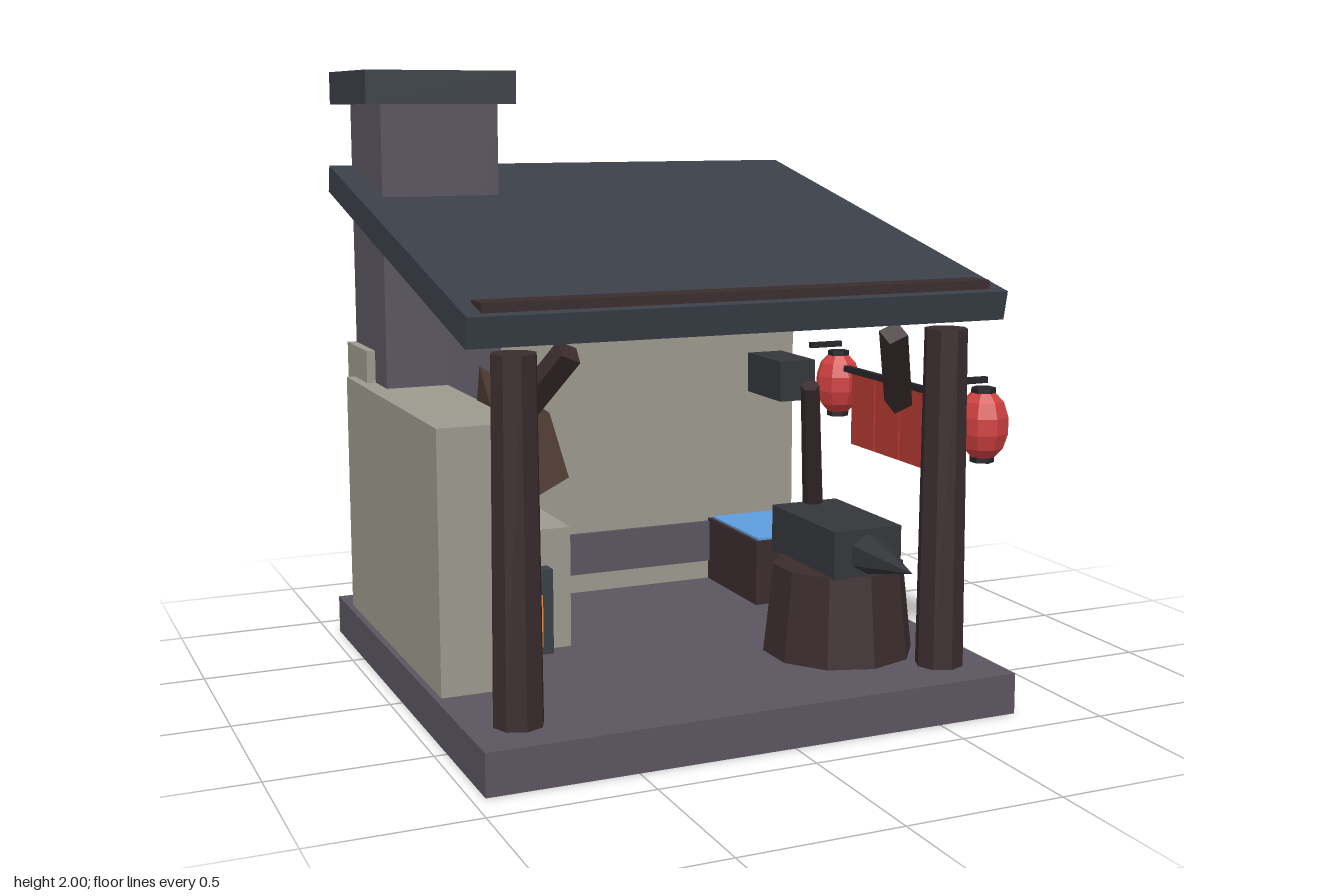
import * as THREE from 'three';

const mat = (color, extra = {}) => new THREE.MeshStandardMaterial({ color, flatShading: true, ...extra });

export function createModel() {
  const root = new THREE.Group();
  const stone = mat(0x5a5560), slate = mat(0x3a4048), plaster = mat(0x9c998d);
  const wood = mat(0x3a2c2e), iron = mat(0x34363a), black = mat(0x26262a);
  const red = mat(0xd04040), cloth = mat(0xb83a32, { side: THREE.DoubleSide });
  const copper = mat(0x4a382f), fire = mat(0xe8853f), water = mat(0x5f9ee0);

  const add = (name, geometry, material) => {
    const mesh = new THREE.Mesh(geometry, material);
    mesh.name = name;
    root.add(mesh);
    return mesh;
  };
  // Box given by its min and max on each axis
  const box = (name, material, x0, x1, y0, y1, z0, z1) => {
    const mesh = add(name, new THREE.BoxGeometry(x1 - x0, y1 - y0, z1 - z0), material);
    mesh.position.set((x0 + x1) / 2, (y0 + y1) / 2, (z0 + z1) / 2);
    return mesh;
  };
  // Places a y-aligned geometry so that it runs from a to b
  const between = (mesh, a, b) => {
    const p = new THREE.Vector3(...a), q = new THREE.Vector3(...b);
    mesh.position.copy(p).lerp(q, 0.5);
    mesh.quaternion.setFromUnitVectors(new THREE.Vector3(0, 1, 0), q.sub(p).normalize());
    return mesh;
  };
  const dist = (a, b) => new THREE.Vector3(...a).distanceTo(new THREE.Vector3(...b));
  const rod = (name, material, a, b, r0, r1, sides) =>
    between(add(name, new THREE.CylinderGeometry(r1, r0, dist(a, b), sides), material), a, b);

  // Floor and walls
  box('floor', stone, -0.96, 0.77, 0, 0.13, -0.86, 0.87);
  box('backWall', plaster, -0.91, 0.72, 0.13, 1.06, -0.83, -0.56);
  box('backWallBand', stone, -0.911, 0.721, 0.2, 0.35, -0.845, -0.545);
  box('sideWall', plaster, -0.94, -0.67, 0.13, 0.95, -0.73, 0.38);

  // Chimney
  box('chimney', stone, -0.88, -0.48, 0.13, 1.89, -0.82, -0.41);
  box('chimneyCap', slate, -0.94, -0.43, 1.89, 2, -0.87, -0.36);

  // Sloping roof with eave strip
  const roof = add('roof', new THREE.BoxGeometry(1.73, 0.092, 1.63), slate);
  roof.position.set(-0.095, 1.455, -0.033);
  roof.rotation.x = 0.222;
  box('eaveStrip', wood, -0.91, 0.72, 1.325, 1.355, 0.65, 0.745);

  // Posts and their braces, mirrored about the roof's middle
  for (const s of [-1, 1]) {
    const cx = -0.097;
    rod('post', wood, [cx + s * 0.703, 0.13, 0.685], [cx + s * 0.703, 1.205, 0.685], 0.077, 0.068, 8);
    const a = [cx + s * 0.665, 0.94, 0.47], b = [cx + s * 0.53, 1.195, 0.66];
    between(add('brace', new THREE.BoxGeometry(0.065, dist(a, b), 0.065), wood), a, b);
  }

  // Forge with glowing mouth and hood
  box('forge', plaster, -0.9, -0.4, 0.13, 0.53, -0.5, 0.04);
  box('forgeMouth', slate, -0.86, -0.48, 0.13, 0.41, 0.03, 0.095);
  box('forgeFire', fire, -0.82, -0.52, 0.16, 0.33, 0.08, 0.11);
  const hoodGeo = new THREE.CylinderGeometry(0.145, 0.31, 0.22, 3, 1, false, 0.27).rotateZ(-Math.PI / 2);
  add('forgeHood', hoodGeo, copper).position.set(-0.565, 0.765, 0.043);

  // Anvil on its stump
  rod('stump', wood, [0.39, 0.13, 0.41], [0.39, 0.42, 0.41], 0.245, 0.213, 10);
  box('anvilBody', iron, 0.27, 0.51, 0.415, 0.57, 0.17, 0.6);
  rod('anvilHorn', iron, [0.39, 0.49, 0.59], [0.39, 0.49, 0.87], 0.068, 0, 6);

  // Hammer
  rod('hammerHandle', wood, [0.42, 0.53, 0.175], [0.295, 1.0, 0.38], 0.034, 0.03, 6);
  box('hammerHead', iron, 0.23, 0.355, 0.94, 1.07, 0.06, 0.3);

  // Quenching trough
  box('trough', wood, 0.37, 0.7, 0.13, 0.36, -0.56, -0.15);
  box('troughWater', water, 0.385, 0.685, 0.34, 0.368, -0.545, -0.165);

  // Hanging lanterns
  const profile = [[0.04, 0.745], [0.068, 0.775], [0.084, 0.825], [0.084, 0.88], [0.068, 0.93], [0.04, 0.958]]
    .map(([r, y]) => new THREE.Vector2(r, y));
  for (const z of [0.495, -0.485]) {
    add('lantern', new THREE.LatheGeometry(profile, 8), red).position.set(0.875, 0, z);
    rod('lanternCap', black, [0.875, 0.95, z], [0.875, 0.975, z], 0.04, 0.04, 6);
    rod('lanternBase', black, [0.875, 0.727, z], [0.875, 0.75, z], 0.04, 0.04, 6);
    box('lanternArm', black, 0.755, 0.885, 0.99, 1.01, z - 0.01, z + 0.01);
  }

  // Cloth curtain on its rail
  box('curtainRail', black, 0.79, 0.81, 0.925, 0.947, -0.29, 0.297);
  for (let i = 0; i < 3; i++) {
    const z = 0.18 - i * 0.17;
    box('curtainPanel', cloth, 0.797, 0.803, 0.665, 0.93, z - 0.081, z + 0.081);
  }
  return root;
}
